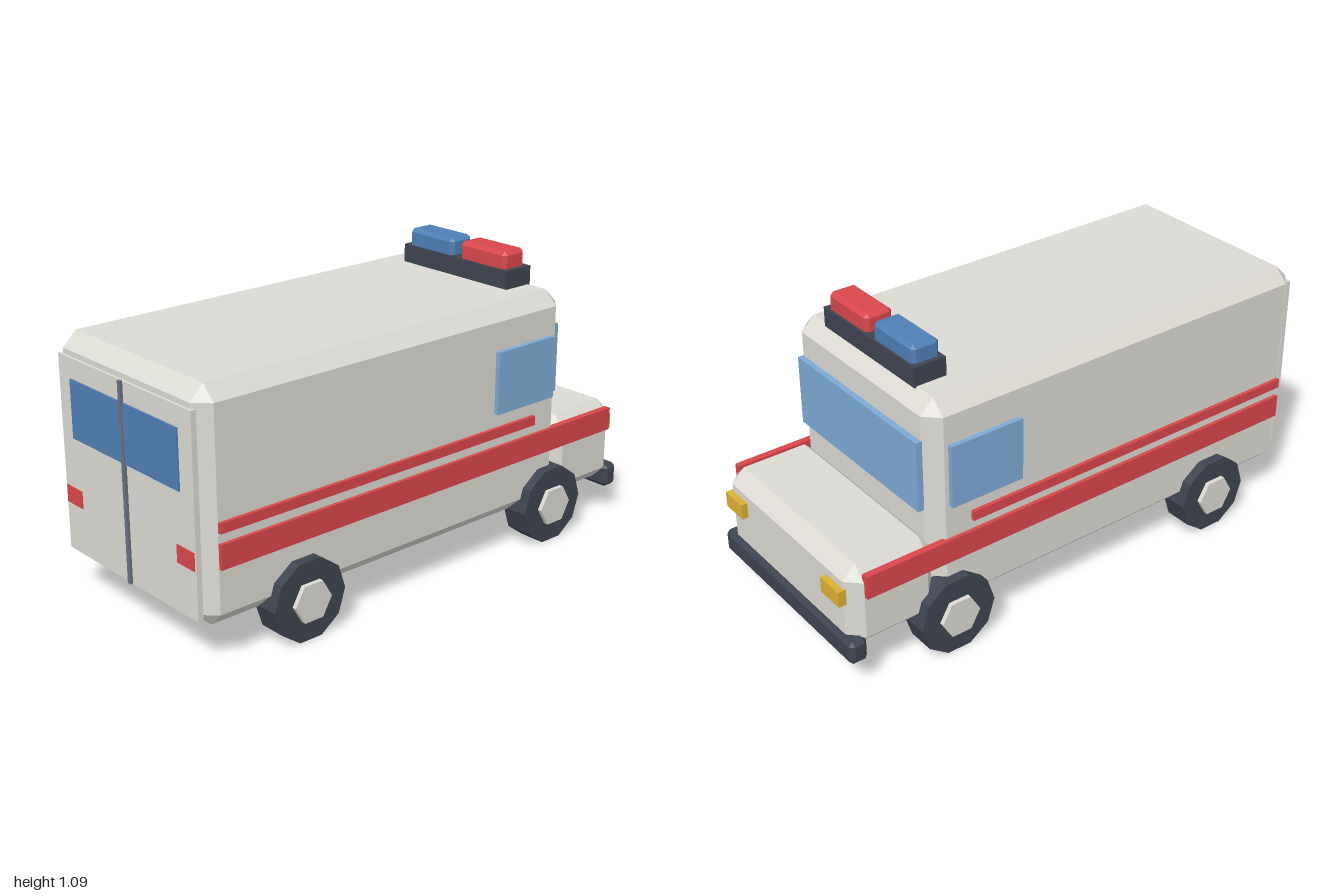
import * as THREE from 'three';
import { ConvexGeometry } from 'three/addons/geometries/ConvexGeometry.js';

const paint = (name, color) => Object.assign(new THREE.MeshStandardMaterial({ color }), { name });

// Box with all edges cut at 45 degrees, given by its min and max corners
function chamferBox(a, b, c) {
  const mid = a.map((v, i) => (v + b[i]) / 2);
  const half = a.map((v, i) => (b[i] - v) / 2);
  const points = [];
  for (const sx of [-1, 1]) for (const sy of [-1, 1]) for (const sz of [-1, 1])
    for (let axis = 0; axis < 3; axis++) {
      const p = [sx, sy, sz].map((s, i) => mid[i] + s * (half[i] - (i === axis ? 0 : c)));
      points.push(new THREE.Vector3(...p));
    }
  return new ConvexGeometry(points);
}

// Plain box from min and max corners
function box(a, b) {
  return new THREE.BoxGeometry(b[0] - a[0], b[1] - a[1], b[2] - a[2])
    .translate((a[0] + b[0]) / 2, (a[1] + b[1]) / 2, (a[2] + b[2]) / 2);
}

export function createModel() {
  const group = new THREE.Group();
  group.name = 'emergencyVan';

  const white = paint('bodyWhite', 0xdcdad3);
  const red = paint('stripeRed', 0xd9474a);
  const blue = paint('deepBlue', 0x4f7fb5);
  const glass = paint('glassBlue', 0x7cabd6);
  const dark = paint('darkRubber', 0x3e4450);
  const yellow = paint('headlightYellow', 0xddb035);
  const grey = paint('seamGrey', 0x6b7280);

  const add = (name, geometry, material) => {
    const mesh = new THREE.Mesh(geometry, material);
    mesh.name = name;
    group.add(mesh);
    return mesh;
  };

  // Body and hood
  add('body', chamferBox([-0.407, 0.138, -0.655], [0.407, 0.955, 0.98], 0.052), white);
  add('hood', chamferBox([-0.405, 0.138, -0.976], [0.405, 0.457, -0.63], 0.05), white);

  // Double doors with window and seam
  add('doors', box([-0.373, 0.173, 0.97], [0.373, 0.884, 0.99]), white);
  add('doorWindow', box([-0.302, 0.6, 0.988], [0.302, 0.811, 0.996]), blue);
  add('doorSeam', box([-0.008, 0.173, 0.988], [0.008, 0.884, 1]), grey);

  // Windshield
  add('windshield', box([-0.357, 0.55, -0.677], [0.357, 0.812, -0.65]), glass);

  // Bumper
  add('bumper', chamferBox([-0.415, 0.102, -0.995], [0.415, 0.193, -0.928], 0.015), dark);

  // Roof light bar
  add('lightBarBase', box([-0.267, 0.95, -0.613], [0.267, 1.024, -0.488]), dark);
  add('blueLamp', chamferBox([-0.249, 1.005, -0.604], [-0.019, 1.088, -0.496], 0.014), blue);
  add('redLamp', chamferBox([0.018, 1.005, -0.604], [0.248, 1.088, -0.496], 0.014), red);

  // Parts mirrored on both sides
  for (const s of [-1, 1]) {
    const side = s > 0 ? 'left' : 'right';
    const sideBox = (name, x0, x1, y0, y1, z0, z1, material) =>
      add(side + name, box([Math.min(s * x0, s * x1), y0, z0], [Math.max(s * x0, s * x1), y1, z1]), material);

    sideBox('Window', 0.4, 0.425, 0.564, 0.797, -0.587, -0.298, glass);
    sideBox('WideStripe', 0.395, 0.421, 0.351, 0.438, -0.925, 0.927, red);
    sideBox('ThinStripe', 0.4, 0.421, 0.475, 0.511, -0.5, 0.927, red);
    sideBox('TailLight', 0.275, 0.366, 0.349, 0.412, 0.988, 0.994, red);
    sideBox('Headlight', 0.257, 0.365, 0.32, 0.379, -1, -0.97, yellow);

    // Ten-sided tyres with six-sided hubs
    for (const [end, z] of [['Hood', -0.587], ['Door', 0.59]]) {
      const wheel = (name, radius, x0, x1, sides, material) => {
        const g = new THREE.CylinderGeometry(radius, radius, x1 - x0, sides).toNonIndexed();
        g.rotateZ(Math.PI / 2).translate(s * (x0 + x1) / 2, 0.143, z);
        g.computeVertexNormals();
        add(side + end + name, g, material);
      };
      wheel('Tyre', 0.15, 0.341, 0.445, 10, dark);
      wheel('Hub', 0.077, 0.4, 0.462, 6, white);
    }
  }

  return group;
}
